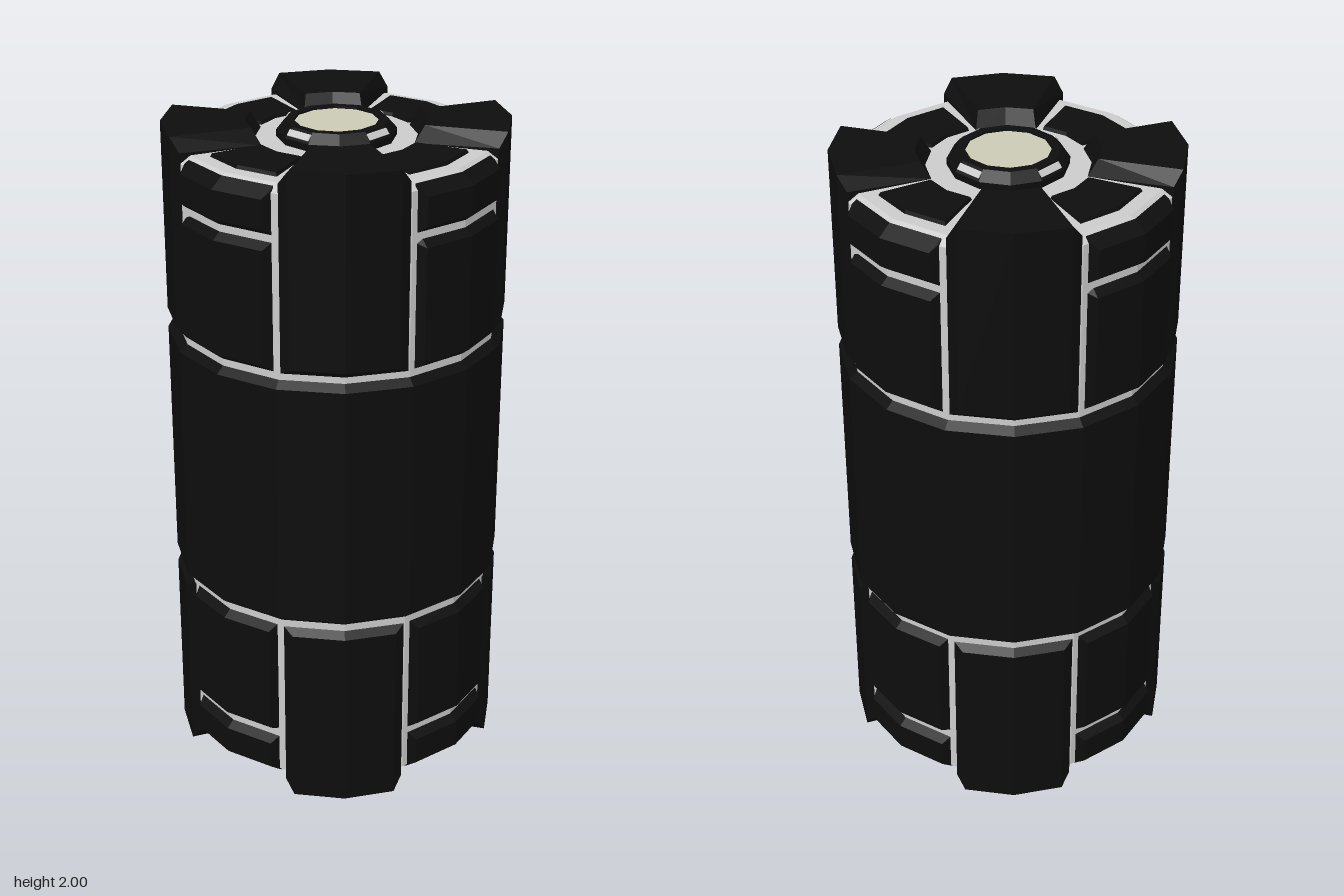
import * as THREE from 'three';

const SIDES = 16;
const STEP = Math.PI / SIDES; // half of one facet
const rad = THREE.MathUtils.degToRad;

// crisp facets without touching the material
function facet(geometry) {
  const flat = geometry.index ? geometry.toNonIndexed() : geometry;
  flat.computeVertexNormals();
  return flat;
}

function lathe(points, sides = SIDES, start = 0) {
  return facet(new THREE.LatheGeometry(points.map(p => new THREE.Vector2(...p)), sides, start));
}

// Raised plate around angle 0: the [r, y] profile 'top' spans +-halfTop degrees,
// then slopes down to the profile 'base' at +-halfBase degrees.
function plate(top, base, halfTop, halfBase) {
  const sections = [
    [-halfBase, base], [-halfTop, top], [0, top], [halfTop, top], [halfBase, base],
  ];
  const n = top.length;
  const pos = [], idx = [];
  for (const [deg, profile] of sections) {
    const a = rad(deg);
    const f = Math.cos(STEP) / Math.cos(Math.abs(a) - STEP); // follow the 16-sided outline
    for (const [r, y] of profile) pos.push(r * f * Math.sin(a), y, r * f * Math.cos(a));
  }
  for (let i = 0; i < sections.length - 1; i++) {
    for (let j = 0; j < n - 1; j++) {
      const a = i * n + j, b = a + n;
      idx.push(a, b, b + 1, a, b + 1, a + 1);
    }
  }
  const last = (sections.length - 1) * n;
  for (let k = 1; k < n - 1; k++) {
    idx.push(0, k, k + 1, last, last + k + 1, last + k);
  }
  const g = new THREE.BufferGeometry();
  g.setAttribute('position', new THREE.Float32BufferAttribute(pos, 3));
  g.setIndex(idx);
  return facet(g);
}

// bevelled panel on the side wall
function sidePanel(y0, y1, topR, topBevel) {
  const r = 0.474;
  return plate(
    [[r, y0], [0.5, y0 + 0.02], [0.5, y1 - topBevel], [topR, y1]],
    [[r, y0], [r, y0], [r, y1 - 0.01], [topR, y1]], 18.2, 20.6);
}

export function createModel() {
  const black = new THREE.MeshStandardMaterial({ color: 0x0d0d0d });
  black.name = 'black casing';
  const grey = new THREE.MeshStandardMaterial({ color: 0xcccccc });
  grey.name = 'light grey core';
  const cream = new THREE.MeshStandardMaterial({ color: 0xcbcbb6 });
  cream.name = 'cream lens';

  const model = new THREE.Group();
  model.name = 'canister';
  const body = new THREE.Group();
  body.name = 'body';
  body.position.y = 1; // everything below is measured from mid height
  model.add(body);

  const add = (parent, name, geometry, material, turn = 0) => {
    const mesh = new THREE.Mesh(geometry, material);
    mesh.name = name;
    mesh.rotation.y = turn;
    parent.add(mesh);
    return mesh;
  };

  // inner core and middle band
  add(body, 'core', lathe([[0, -0.95], [0.445, -0.95], [0.475, -0.93],
    [0.475, 0.93], [0.445, 0.95], [0, 0.95]]), grey);
  add(body, 'middleBand', lathe([[0.474, -0.39], [0.5, -0.37], [0.5, 0.37], [0.474, 0.39]]), black);

  // corner straps that fold over the ends, and the panels between them
  const strap = plate(
    [[0.478, 0.41], [0.5, 0.43], [0.5, 1], [0.26, 1], [0.232, 0.95]],
    [[0.478, 0.41], [0.478, 0.41], [0.478, 0.96], [0.232, 0.95], [0.232, 0.95]], 18, 21.8);
  const largePanel = sidePanel(0.41, 0.79, 0.474, 0.02);
  const smallPanel = sidePanel(0.81, 0.945, 0.46, 0.03);
  for (const end of ['upper', 'lower']) {
    const half = new THREE.Group();
    half.name = end + 'Half';
    if (end === 'lower') half.rotation.x = Math.PI;
    for (let q = 0; q < 4; q++) {
      const turn = q * Math.PI / 2;
      add(half, 'cornerStrap', strap, black, turn + Math.PI / 4);
      add(half, 'largePanel', largePanel, black, turn);
      add(half, 'smallPanel', smallPanel, black, turn);
    }
    body.add(half);
  }

  // lid panels
  const lidPanel = plate(
    [[0.405, 0.949], [0.4, 0.96], [0.245, 0.96], [0.24, 0.949]],
    [[0.405, 0.949], [0.405, 0.949], [0.24, 0.949], [0.24, 0.949]], 18, 18.6);
  for (let q = 0; q < 4; q++) add(body, 'lidPanel', lidPanel, black, q * Math.PI / 2);

  // central hub with lens and four small tabs
  add(body, 'hubRing', lathe([[0.172, 0.949], [0.172, 0.97], [0.147, 0.998],
    [0.122, 0.998], [0.12, 0.975]], 12, Math.PI / 12), black);
  const lens = add(body, 'lens', new THREE.CircleGeometry(0.122, 24).rotateX(-Math.PI / 2), cream);
  lens.position.y = 0.992;
  const tab = new THREE.BoxGeometry(0.08, 0.02, 0.008);
  tab.rotateX(-0.71).translate(0, 0.984, 0.154);
  for (let q = 0; q < 4; q++) add(body, 'hubTab', tab, grey, q * Math.PI / 2);

  return model;
}
